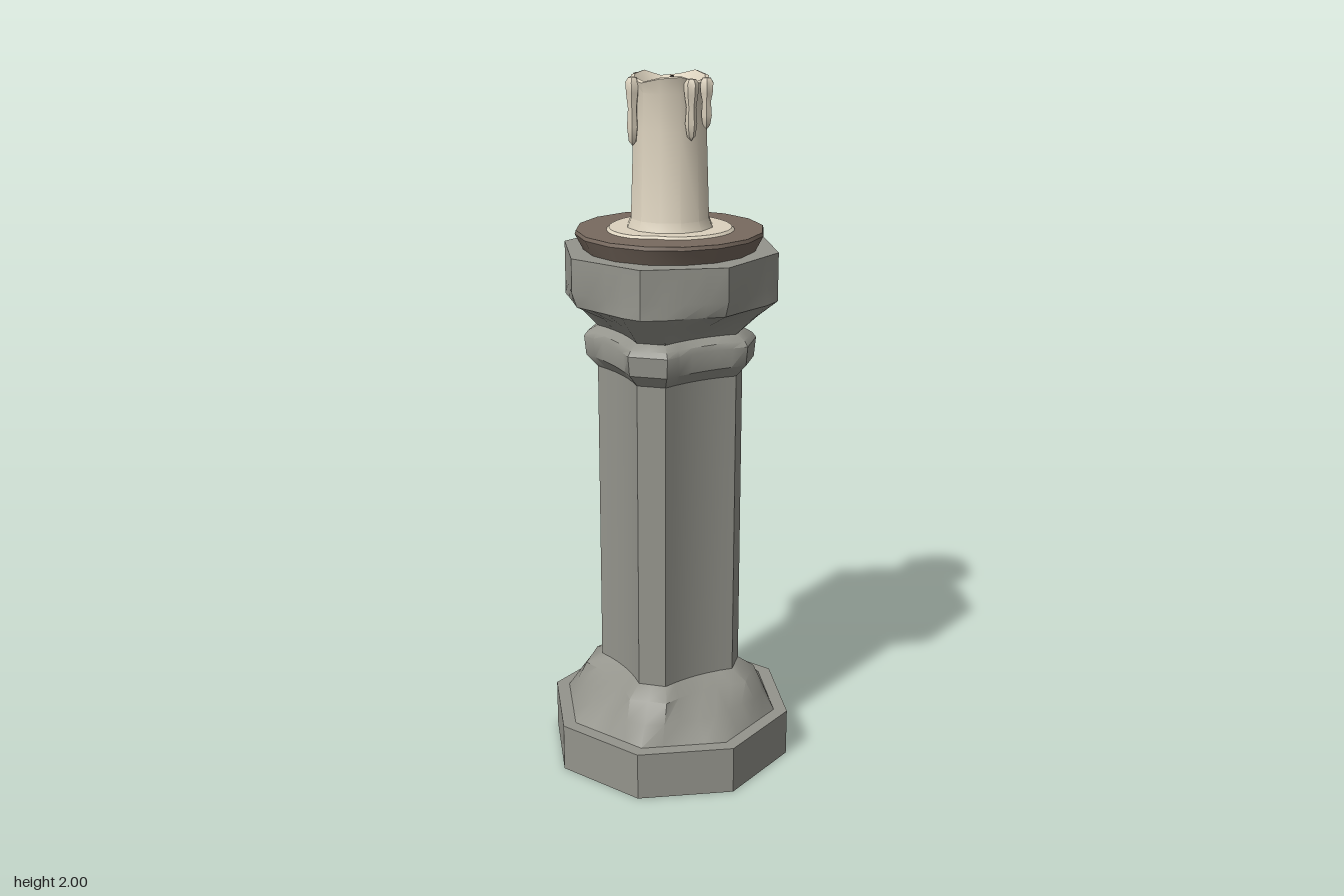
import * as THREE from 'three';
import { toCreasedNormals } from 'three/addons/utils/BufferGeometryUtils.js';

const material = (name, color, side = THREE.FrontSide) => {
  const m = new THREE.MeshStandardMaterial({ color, side });
  m.name = name;
  return m;
};

// Repeats one quadrant outline (from +z towards +x) around the y axis
function fourfold(quadrant) {
  const out = [];
  for (let k = 0; k < 4; k++) {
    const c = Math.round(Math.cos(k * Math.PI / 2)), s = Math.round(Math.sin(k * Math.PI / 2));
    for (const [x, z] of quadrant) out.push([x * c + z * s, z * c - x * s]);
  }
  return out;
}

// Cross with flat tips (radius r, half width w) and concave corners through (m, m)
function star(r, w, m) {
  const c = 2 * m - (r + w) / 2;
  const q = [[0, r]];
  for (let i = 0; i <= 6; i++) {
    const t = i / 6, a = (1 - t) ** 2, b = 2 * t * (1 - t), d = t * t;
    q.push([a * w + b * c + d * r, a * r + b * c + d * w]);
  }
  return fourfold(q);
}

// Octagon with corners on the axes, with matching point count
function octagon(r) {
  const h = r * Math.SQRT1_2, q = [];
  for (let i = 0; i < 8; i++) {
    const u = i / 4;
    q.push(u <= 1 ? [h * u, r + (h - r) * u] : [h + (r - h) * (u - 1), h * (2 - u)]);
  }
  return fourfold(q);
}

const blend = (a, b, t) => a.map(([x, z], i) => [x + (b[i][0] - x) * t, z + (b[i][1] - z) * t]);

// Skins a stack of [y, outline] sections
function loft(sections) {
  const pos = [], n = sections[0][1].length;
  const put = (j, i) => {
    const [y, o] = sections[j];
    pos.push(o[i % n][0], y, o[i % n][1]);
  };
  for (let j = 0; j < sections.length - 1; j++) {
    for (let i = 0; i < n; i++) {
      put(j, i); put(j, i + 1); put(j + 1, i + 1);
      put(j, i); put(j + 1, i + 1); put(j + 1, i);
    }
  }
  const g = new THREE.BufferGeometry();
  g.setAttribute('position', new THREE.Float32BufferAttribute(pos, 3));
  return toCreasedNormals(g, 0.6);
}

// Moves each vertex by a rule(vector, angle, radius)
function reshape(g, rule) {
  const p = g.attributes.position, v = new THREE.Vector3();
  for (let i = 0; i < p.count; i++) {
    v.fromBufferAttribute(p, i);
    rule(v, Math.atan2(v.x, v.z), Math.hypot(v.x, v.z));
    p.setXYZ(i, v.x, v.y, v.z);
  }
  return toCreasedNormals(g, 0.6);
}

const lathe = (points, sides) =>
  new THREE.LatheGeometry(points.map(([x, y]) => new THREE.Vector2(x, y)), sides);

export function createModel() {
  const group = new THREE.Group();
  const stone = material('grey stone', 0x94948c, THREE.DoubleSide);
  const metal = material('brown dish', 0x786a5f);
  const wax = material('cream wax', 0xdcd2be, THREE.DoubleSide);
  const char = material('charred wick', 0x2a2522);
  const add = (name, geometry, mat) => {
    const mesh = new THREE.Mesh(geometry, mat);
    mesh.name = name;
    group.add(mesh);
    return mesh;
  };

  const shaft = star(0.2, 0.04, 0.11);
  const collar = star(0.235, 0.055, 0.135);

  // Hollow octagonal plinth and its flare up to the shaft
  add('plinth', loft([[0, octagon(0.36)], [0.14, octagon(0.36)], [0.14, octagon(0.32)]]), stone);
  add('baseFlare', loft([
    [0.14, octagon(0.32)],
    [0.195, blend(octagon(0.29), star(0.275, 0.06, 0.16), 0.45)],
    [0.25, star(0.245, 0.055, 0.137)],
    [0.28, shaft],
  ]), stone);

  // Fluted shaft and moulded collar
  add('shaft', loft([[0.28, shaft], [1.19, shaft]]), stone);
  add('collar', loft([
    [1.18, shaft], [1.215, star(0.23, 0.052, 0.132)], [1.27, collar],
    [1.285, star(0.225, 0.05, 0.13)], [1.3, shaft],
  ]), stone);

  // Capital spreading from the shaft to an octagon
  add('capital', loft([
    [1.3, shaft],
    [1.345, blend(star(0.25, 0.05, 0.125), octagon(0.25), 0.4)],
    [1.39, blend(star(0.305, 0.06, 0.165), octagon(0.305), 0.8)],
    [1.43, octagon(0.305)], [1.525, octagon(0.305)], [1.525, octagon(0.2)],
  ]), stone);

  // Dish
  add('dish', toCreasedNormals(lathe(
    [[0, 1.522], [0.238, 1.522], [0.262, 1.568], [0.259, 1.578], [0, 1.578]], 16), 0.6), metal);

  // Melted wax pool with an uneven outline
  add('waxPool', reshape(new THREE.CylinderGeometry(0.168, 0.176, 0.008, 32), (v, a) => {
    const s = 1 + 0.03 * Math.sin(3 * a + 3.6) - 0.09 * Math.exp(-((a / 0.22) ** 2));
    v.set(v.x * s, v.y + 1.581, v.z * s);
  }), wax);

  // Candle with a wavy rim and hollowed top
  add('candle', reshape(lathe([
    [0.122, 1.58], [0.11, 1.61], [0.102, 1.85], [0.1, 1.95], [0.108, 1.985],
    [0.097, 1.988], [0.062, 1.95], [0, 1.945],
  ], 12), (v, a, r) => {
    if (v.y > 1.97 && r > 0.08) v.y += 0.008 * Math.sin(3 * a + 0.6) + 0.004 * Math.sin(5 * a);
  }), wax);

  // Wick
  add('wick', new THREE.TubeGeometry(new THREE.CatmullRomCurve3([
    new THREE.Vector3(0, 1.94, 0), new THREE.Vector3(0.002, 1.965, 0), new THREE.Vector3(0.007, 1.99, 0.002),
  ]), 6, 0.005, 6), char);

  // Wax drips: x, z, length
  const drips = [[-0.102, -0.045, 0.255], [-0.085, 0.068, 0.18], [0.078, 0.077, 0.16], [0.108, 0.03, 0.135]];
  for (const [x, z, len] of drips) {
    const drip = add('waxDrip', toCreasedNormals(lathe([
      [0, -len], [0.011, -len + 0.012], [0.016, -len * 0.72], [0.013, -len * 0.45],
      [0.018, -0.04], [0.02, -0.012], [0.012, 0], [0, 0.002],
    ], 6), 0.7), wax);
    drip.position.set(x, 1.988, z);
    drip.rotation.y = Math.atan2(x, z);
  }
  return group;
}
